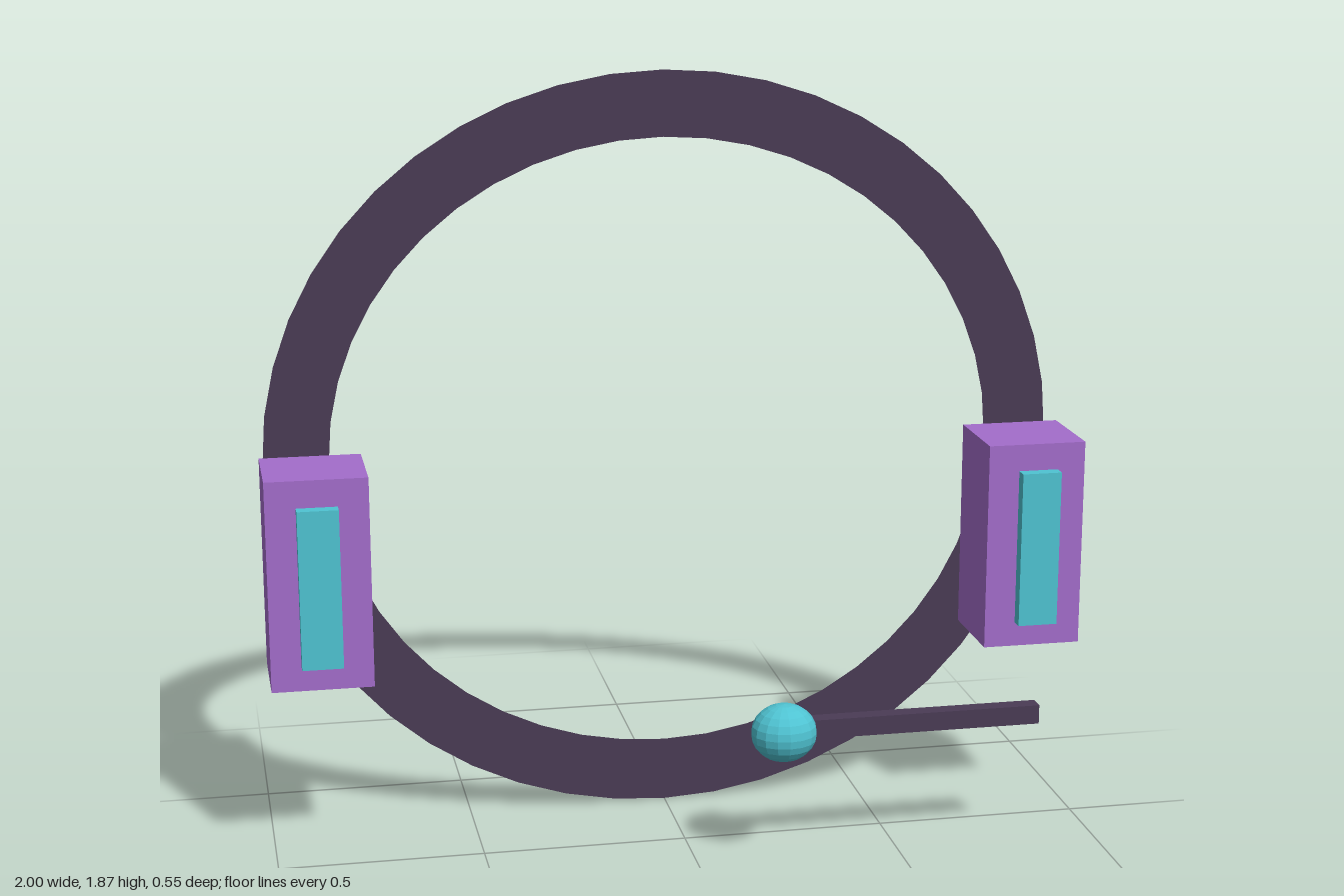
import * as THREE from 'three';

const material = (name, color) => {
  const m = new THREE.MeshStandardMaterial({ color });
  m.name = name;
  return m;
};

export function createModel() {
  const model = new THREE.Group();
  model.name = 'ringGate';

  const dark = material('dark plum', 0x4a3b55);
  const purple = material('purple', 0xa36dcb);
  const cyan = material('cyan', 0x4fc3d2);
  dark.side = THREE.DoubleSide;

  const add = (name, geometry, mat, x, y, z) => {
    const mesh = new THREE.Mesh(geometry, mat);
    mesh.name = name;
    mesh.position.set(x, y, z);
    model.add(mesh);
    return mesh;
  };

  // Flat oval ring of even width, standing at the back
  const oval = new THREE.Shape().absellipse(0, 0, 0.989, 0.935, 0, Math.PI * 2);
  oval.holes.push(new THREE.Path().absellipse(0, 0, 0.829, 0.773, 0, Math.PI * 2));
  add('ring', new THREE.ShapeGeometry(oval, 24), dark, 0, 0.935, -0.274);

  // Side blocks with a slim panel floating in front of each
  for (const [side, s] of [['left', 1], ['right', -1]]) {
    add(side + 'Block', new THREE.BoxGeometry(0.244, 0.516, 0.226), purple, s * 0.878, 0.712, -0.099);
    add(side + 'Panel', new THREE.BoxGeometry(0.098, 0.388, 0.032), cyan, s * 0.879, 0.712, 0.039);
  }

  // Lever with a slightly widened ball knob
  add('leverBar', new THREE.BoxGeometry(0.642, 0.047, 0.04), dark, 0.521, 0.337, 0.178);
  const ball = new THREE.SphereGeometry(1, 16, 12).scale(0.08, 0.0715, 0.0715).toNonIndexed();
  ball.computeVertexNormals(); // faceted
  add('leverKnob', ball, cyan, 0.202, 0.338, 0.2025);

  return model;
}
